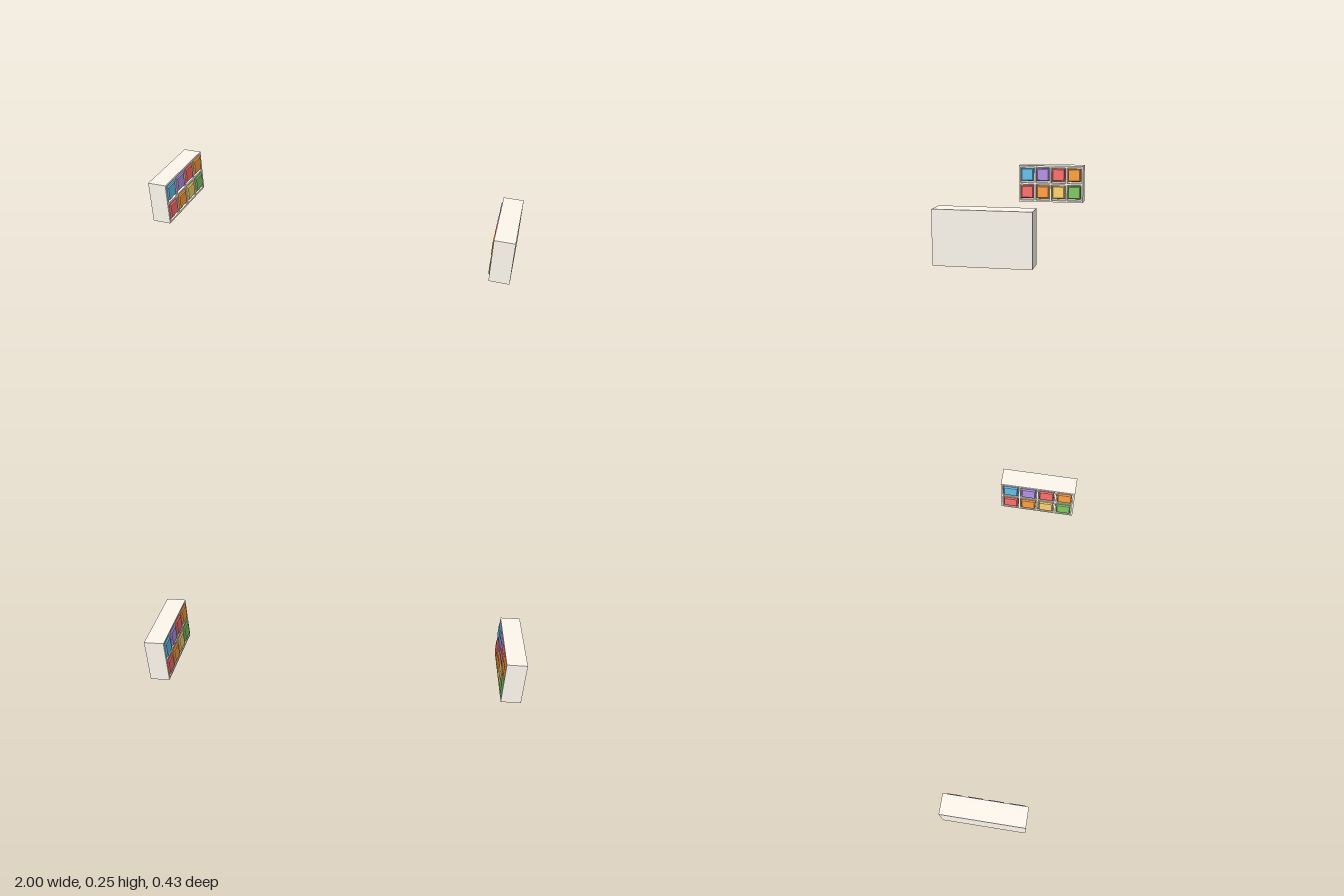
import * as THREE from 'three';

const W = 0.434, H = 0.245, DEPTH = 0.105, RECESS = 0.025;
const BORDER = 0.011, COLS = 4, ROWS = 2;
const cellW = (W - BORDER * (COLS + 1)) / COLS;
const cellH = (H - BORDER * (ROWS + 1)) / ROWS;
const BIN_W = 0.085, BIN_H = 0.085, BIN_LIFT = 0.003, BEVEL = 0.006, PROUD = 0.006;

// bin colours, top row first, left to right as seen facing the shelf
const binColors = [
  [0x67beeb, 0xb393e6, 0xff6e6e, 0xffa13e],
  [0xff6e6e, 0xffa13e, 0xffd46e, 0x81c762],
];

const material = (color) => new THREE.MeshStandardMaterial({ color, flatShading: true });

function rect(path, cx, cy, w, h) {
  path.moveTo(cx - w / 2, cy - h / 2);
  path.lineTo(cx + w / 2, cy - h / 2);
  path.lineTo(cx + w / 2, cy + h / 2);
  path.lineTo(cx - w / 2, cy + h / 2);
  path.closePath();
  return path;
}

function addMesh(parent, name, geometry, mat) {
  const mesh = new THREE.Mesh(geometry, mat);
  mesh.name = name;
  parent.add(mesh);
  return mesh;
}

// one shelf unit: back at z = 0, bins facing +z
function createShelf(name) {
  const shelf = new THREE.Group();
  shelf.name = name;
  const cream = material(0xfcf6ec);

  // solid body behind the compartments
  const bodyDepth = DEPTH - RECESS;
  addMesh(shelf, 'body', new THREE.BoxGeometry(W, H, bodyDepth), cream)
    .position.set(0, H / 2, bodyDepth / 2);

  // compartment frame
  const frame = rect(new THREE.Shape(), 0, H / 2, W, H);
  const cells = [];
  for (let r = 0; r < ROWS; r++) {
    for (let c = 0; c < COLS; c++) {
      const x = -W / 2 + BORDER + cellW / 2 + c * (cellW + BORDER);
      const y = H - BORDER - cellH / 2 - r * (cellH + BORDER);
      frame.holes.push(rect(new THREE.Path(), x, y, cellW, cellH));
      cells.push({ x, y, color: binColors[r][c] });
    }
  }
  addMesh(shelf, 'compartmentFrame',
    new THREE.ExtrudeGeometry(frame, { depth: RECESS, bevelEnabled: false }), cream)
    .position.z = bodyDepth;

  // bevelled bins standing slightly proud of the frame
  const binShape = rect(new THREE.Shape(), 0, BIN_LIFT, BIN_W - 2 * BEVEL, BIN_H - 2 * BEVEL);
  const binGeometry = new THREE.ExtrudeGeometry(binShape, {
    depth: RECESS + PROUD - BEVEL, bevelThickness: BEVEL, bevelSize: BEVEL, bevelSegments: 1,
  });
  for (const { x, y, color } of cells) {
    addMesh(shelf, 'bin', binGeometry, material(color)).position.set(x, y, bodyDepth);
  }
  return shelf;
}

export function createModel() {
  const model = new THREE.Group();
  model.name = 'facingShelves';
  // two shelves facing each other
  for (const side of [-1, 1]) {
    const shelf = createShelf(side < 0 ? 'rightShelf' : 'leftShelf');
    shelf.position.x = side;
    shelf.rotation.y = -side * Math.PI / 2;
    model.add(shelf);
  }
  return model;
}
